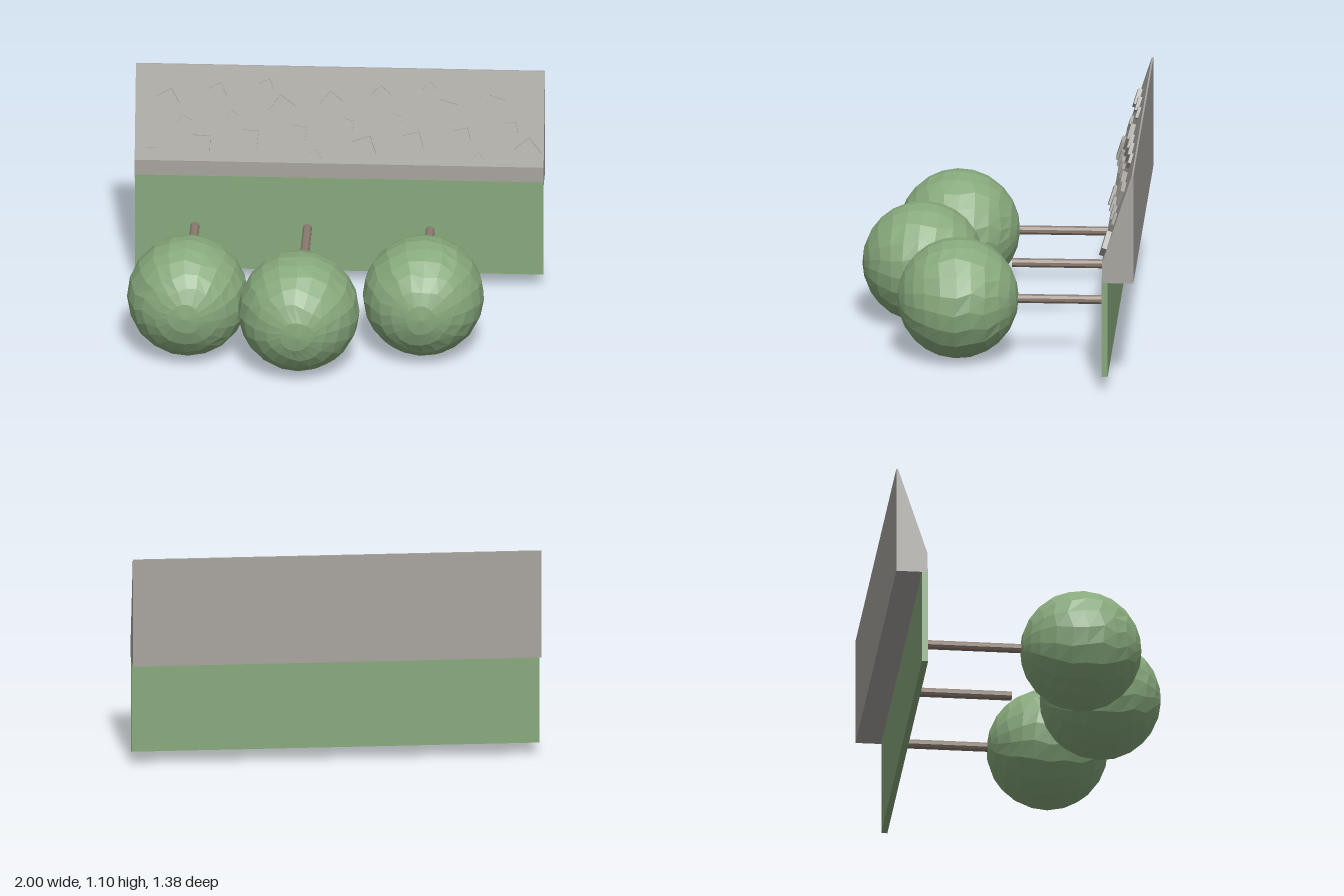
import * as THREE from 'three';

const flat = (name, color) => {
  const m = new THREE.MeshStandardMaterial({ color });
  m.name = name;
  m.flatShading = true;
  return m;
};

// Faceted ball with its pole along z; vertices are nudged sideways, then put back on the sphere
function foliageGeometry(radius, seed) {
  const g = new THREE.SphereGeometry(radius, 20, 12);
  g.rotateX(Math.PI / 2);
  const p = g.attributes.position, v = new THREE.Vector3();
  for (let i = 0; i < p.count; i++) {
    v.fromBufferAttribute(p, i);
    const { x, y, z } = v;
    v.x += 0.012 * Math.sin(31 * y + 17 * z + seed);
    v.y += 0.012 * Math.sin(29 * z + 23 * x + seed);
    v.z += 0.012 * Math.sin(37 * x + 19 * y + seed);
    v.setLength(radius);
    p.setXYZ(i, v.x, v.y, v.z);
  }
  g.computeVertexNormals();
  return g;
}

export function createModel() {
  const model = new THREE.Group();
  const grass = flat('grass green', 0x87a97c);
  const leaf = flat('leaf green', 0x87a97c);
  const rock = flat('rock grey', 0xa8a59f);
  const bark = flat('bark brown', 0x8a7b6f);

  const add = (parent, name, geometry, material, x = 0, y = 0, z = 0) => {
    const mesh = new THREE.Mesh(geometry, material);
    mesh.name = name;
    mesh.position.set(x, y, z);
    parent.add(mesh);
    return mesh;
  };

  // Upright green panel
  add(model, 'grassPanel', new THREE.BoxGeometry(1.998, 0.5, 0.03), grass, 0, 0.32, -0.549);

  // Sloped rock ridge: side profile (-z, y) extruded across x
  const profile = new THREE.Shape([
    [0.536, 0.55], [0.69, 0.55], [0.69, 1.1], [0.682, 1.1], [0.536, 0.648],
  ].map(([a, b]) => new THREE.Vector2(a, b)));
  const ridge = new THREE.ExtrudeGeometry(profile, { depth: 2, bevelEnabled: false });
  ridge.rotateY(Math.PI / 2).translate(-1, 0, 0);
  add(model, 'rockRidge', ridge, rock);

  // Stones set into the slope
  const stones = new THREE.Group();
  stones.name = 'stones';
  model.add(stones);
  const heights = [0.685, 0.935, 0.83, 0.725, 0.975, 0.86, 0.76, 1.005, 0.905, 0.79];
  const sizes = [0.045, 0.082, 0.056, 0.096, 0.07];
  const tilt = Math.atan2(0.146, 0.452);
  for (let i = 0; i < 24; i++) {
    const s = sizes[i % 5], y = heights[i % 10];
    const z = -0.536 - (y - 0.648) * Math.tan(tilt);
    const stone = add(stones, 'stone', new THREE.BoxGeometry(s, s, s * 0.5), rock, -0.92 + i * 0.08, y, z);
    stone.rotation.set(-tilt, 0, i * 0.508);
  }

  // Trees lying forward from the panel
  [[-0.705, 0.245], [-0.155, 0.395], [0.445, 0.195]].forEach(([x, z], i) => {
    const tree = new THREE.Group();
    tree.name = 'tree';
    tree.position.set(x, 0.297, 0);
    model.add(tree);
    const trunk = add(tree, 'trunk', new THREE.CylinderGeometry(0.023, 0.023, 0.5, 10), bark, 0, 0, -0.29);
    trunk.rotation.x = Math.PI / 2;
    add(tree, 'foliage', foliageGeometry(0.297, i * 2), leaf, 0, 0, z);
  });

  return model;
}
